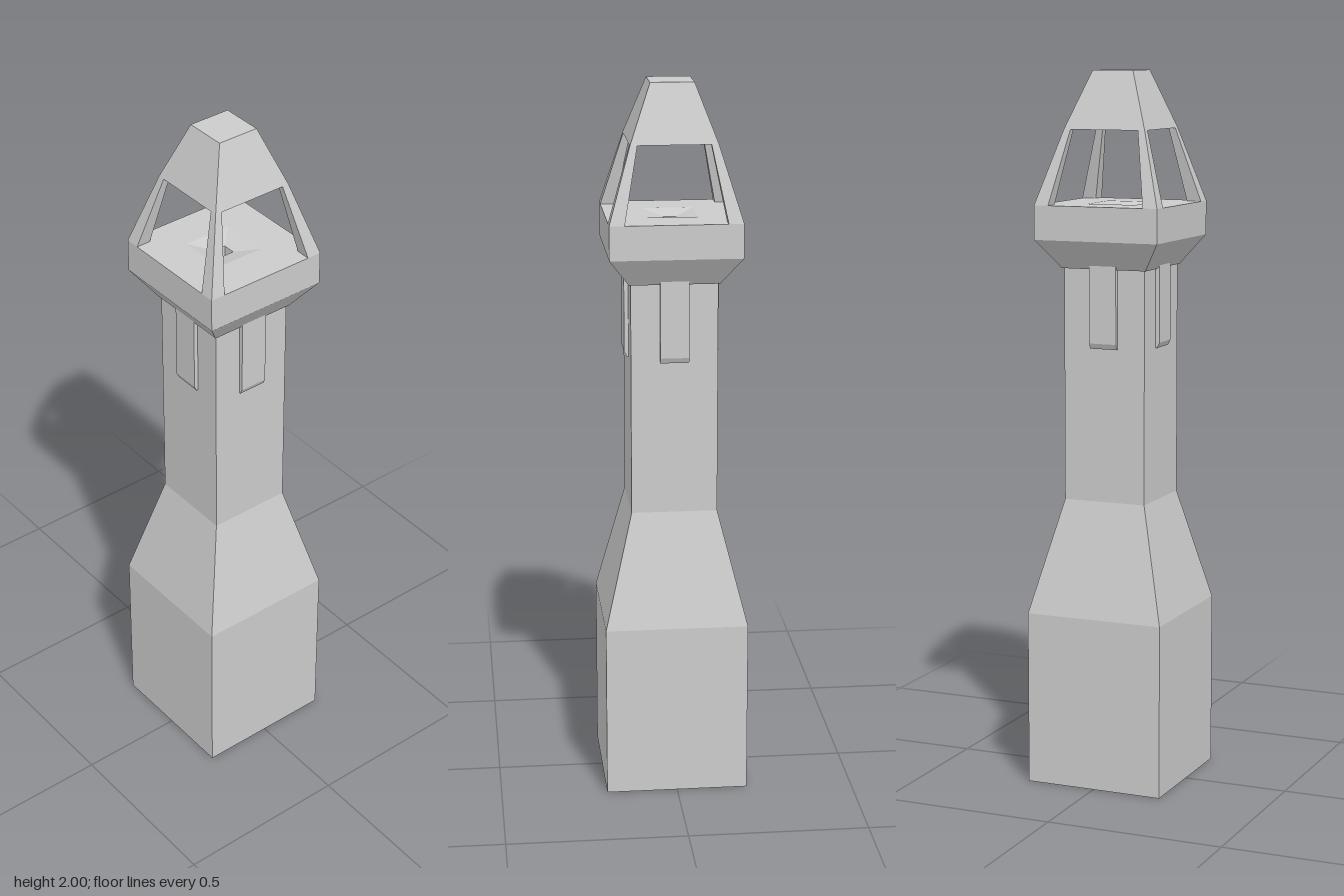
import * as THREE from 'three';

const material = new THREE.MeshStandardMaterial({
  color: 0xcccccc, flatShading: true, side: THREE.DoubleSide,
});

// Lofts square sections [y, halfWidth, centreX = 0, centreZ = 0], listed bottom to top on the outside.
function squareLoft(sections, { bottom = false, top = false } = {}) {
  const positions = [];
  const index = [];
  for (const [y, h, cx = 0, cz = 0] of sections) {
    positions.push(cx - h, y, cz + h, cx + h, y, cz + h, cx + h, y, cz - h, cx - h, y, cz - h);
  }
  for (let s = 0; s < sections.length - 1; s++) {
    for (let i = 0; i < 4; i++) {
      const a = s * 4 + i;
      const b = s * 4 + (i + 1) % 4;
      index.push(a, b, b + 4, a, b + 4, a + 4);
    }
  }
  if (bottom) index.push(0, 2, 1, 0, 3, 2);
  const t = (sections.length - 1) * 4;
  if (top) index.push(t, t + 1, t + 2, t, t + 2, t + 3);
  const indexed = new THREE.BufferGeometry();
  indexed.setAttribute('position', new THREE.Float32BufferAttribute(positions, 3));
  indexed.setIndex(index);
  const geometry = indexed.toNonIndexed();
  geometry.computeVertexNormals();
  return geometry;
}

function add(parent, name, geometry) {
  const mesh = new THREE.Mesh(geometry, material);
  mesh.name = name;
  parent.add(mesh);
  return mesh;
}

export function createModel() {
  const tower = new THREE.Group();
  tower.name = 'tower';

  // Hollow base, sloping shoulder and shaft, open underneath
  add(tower, 'shaft', squareLoft([[0, 0.2], [0.49, 0.2], [0.81, 0.12], [1.46, 0.12]]));

  // Flared collar, with the lantern floor and a shallow central drain on top
  add(tower, 'collar', squareLoft([[1.46, 0.125], [1.54, 0.182], [1.635, 0.182]]));
  add(tower, 'lanternFloor', squareLoft(
    [[1.635, 0.182], [1.635, 0.07], [1.62, 0.018], [1.58, 0.018]], { top: true }));

  // Four tapered corner posts, leaning inwards
  const posts = new THREE.Group();
  posts.name = 'lanternPosts';
  tower.add(posts);
  for (const sx of [-1, 1]) {
    for (const sz of [-1, 1]) {
      add(posts, 'lanternPost', squareLoft([
        [1.635, 0.021, sx * 0.161, sz * 0.161],
        [1.84, 0.01, sx * 0.11, sz * 0.11],
      ]));
    }
  }

  // Solid roof cap
  add(tower, 'roof', squareLoft([[1.84, 0.12], [2, 0.06]], { bottom: true, top: true }));

  // One bracket below the collar on each side, chamfered at its foot
  const profile = new THREE.Shape([
    [0.115, 1.24], [0.125, 1.24], [0.132, 1.255], [0.132, 1.475], [0.115, 1.475],
  ].map(([x, y]) => new THREE.Vector2(x, y)));
  const bracket = new THREE.ExtrudeGeometry(profile, { depth: 0.08, bevelEnabled: false });
  bracket.translate(0, 0, -0.04);
  for (let i = 0; i < 4; i++) {
    add(tower, 'bracket', bracket).rotation.y = i * Math.PI / 2;
  }

  return tower;
}
